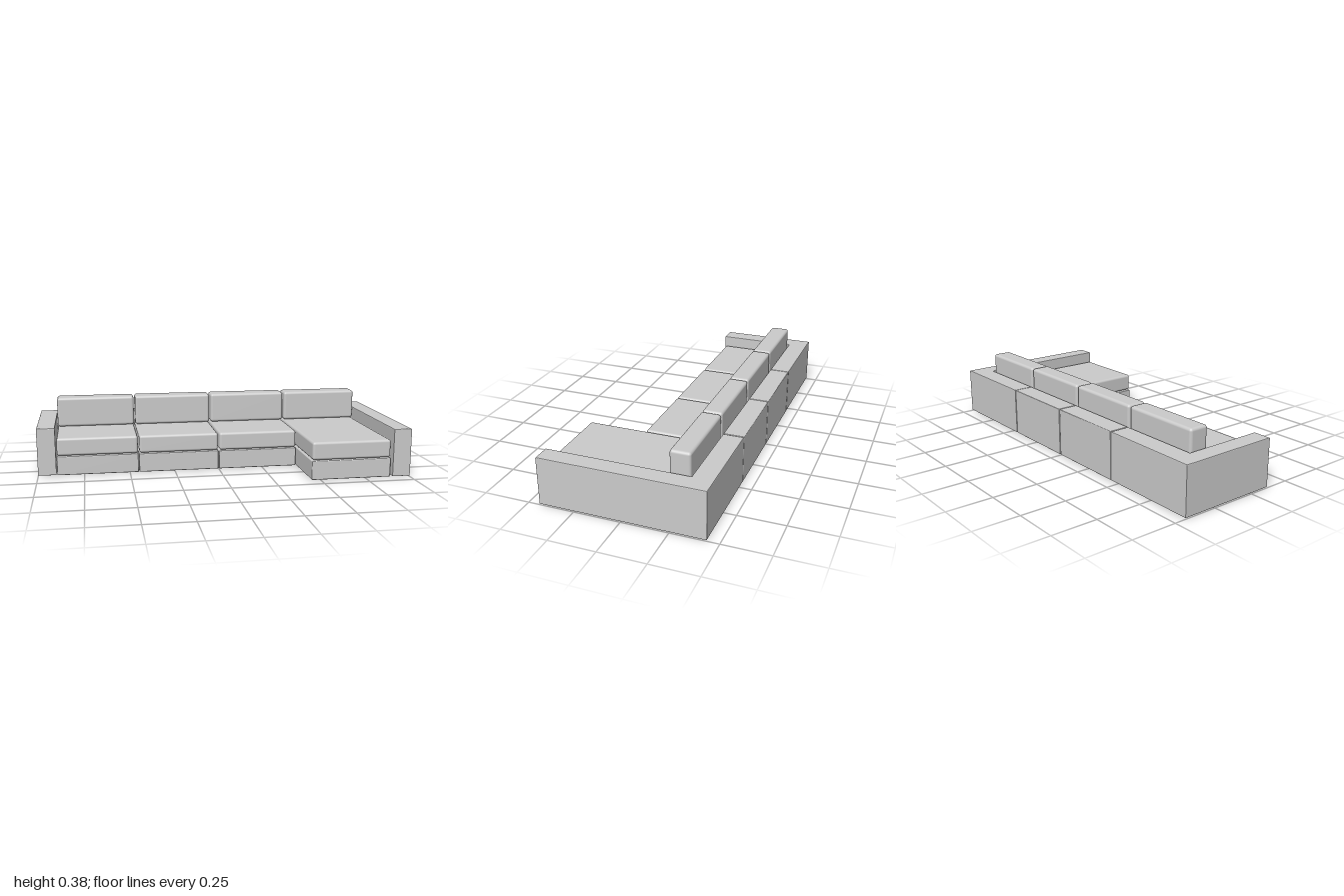
import * as THREE from 'three';
import { RoundedBoxGeometry } from 'three/addons/geometries/RoundedBoxGeometry.js';

const material = new THREE.MeshStandardMaterial({ color: 0xcccccc });

// Soft-edged block given by its limits on each axis
function block(name, [x0, x1], [y0, y1], [z0, z1], radius) {
  const geometry = new RoundedBoxGeometry(x1 - x0, y1 - y0, z1 - z0, 3, radius);
  const mesh = new THREE.Mesh(geometry, material);
  mesh.position.set((x0 + x1) / 2, (y0 + y1) / 2, (z0 + z1) / 2);
  mesh.name = name;
  return mesh;
}

// L-shaped end frame: armrest and back panel in one piece
function cornerFrame(name, side, zFront) {
  const outline = [
    [1, -0.437], [1, zFront], [0.902, zFront],
    [0.902, -0.327], [0.452, -0.327], [0.452, -0.437],
  ].map(([x, z]) => new THREE.Vector2(side * x, -z));
  const bevel = 0.004;
  const geometry = new THREE.ExtrudeGeometry(new THREE.Shape(outline), {
    depth: 0.262 - 2 * bevel,
    bevelEnabled: true,
    bevelSize: bevel,
    bevelThickness: bevel,
    bevelOffset: -bevel,
    bevelSegments: 2,
  });
  geometry.rotateX(-Math.PI / 2);
  const mesh = new THREE.Mesh(geometry, material);
  mesh.position.y = 0.004 + bevel;
  mesh.name = name;
  return mesh;
}

export function createModel() {
  const sofa = new THREE.Group();
  sofa.name = 'sectionalSofa';

  // Four seat sections; the last one is the long chaise
  const edges = [-0.9, -0.45, 0, 0.45, 0.895];
  for (let i = 0; i < 4; i++) {
    const section = new THREE.Group();
    section.name = i === 3 ? 'chaiseSection' : 'seatSection' + (i + 1);
    const x = [edges[i] + 0.002, edges[i + 1] - 0.002];
    const cushionX = [edges[i] + 0.004, edges[i + 1] - 0.004];
    const front = i === 3 ? 0.424 : 0.104;

    section.add(
      block('base', x, [0, 0.104], [-0.325, front], 0.005),
      block('seatCushion', cushionX, [0.108, 0.206], [-0.322, front], 0.014),
      block('backCushion', cushionX, [0.207, 0.376], [-0.318, -0.21], 0.015),
    );
    // Straight back panels behind the two middle sections
    if (i === 1 || i === 2) {
      section.add(block('backPanel', x, [0.004, 0.266], [-0.437, -0.327], 0.004));
    }
    sofa.add(section);
  }

  // Armrests with the back panels of the end sections
  sofa.add(
    cornerFrame('leftArmAndBack', 1, 0.437),
    cornerFrame('rightArmAndBack', -1, 0.112),
  );
  return sofa;
}
